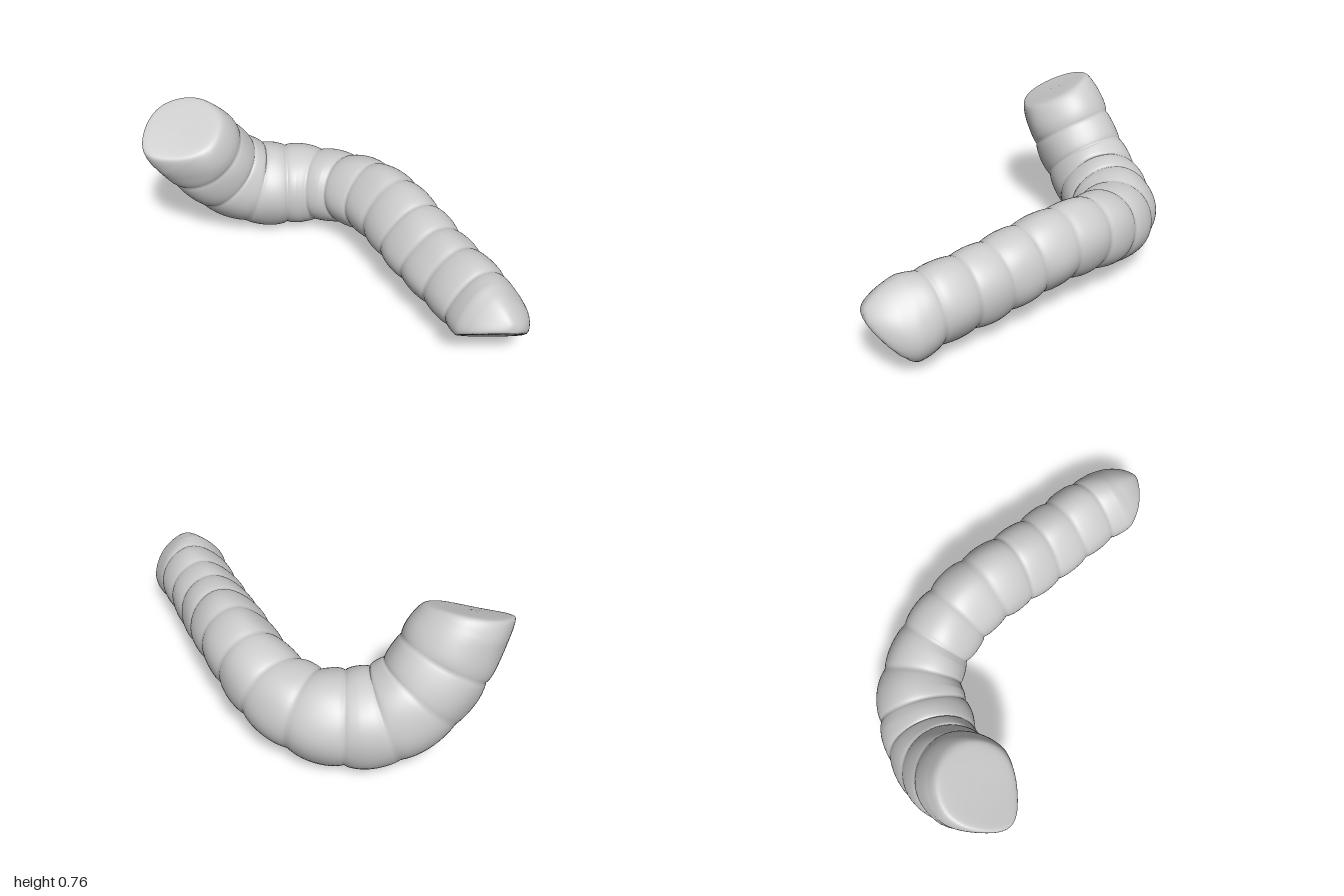
import * as THREE from 'three';

const RINGS = 270, SIDES = 60, RIB = 0.18;

// Centre line: straight ribbed front, sideways bend, then rising rear end
const spine = new THREE.CatmullRomCurve3([
  [0.225, 0.28, 1.0], [0.264, 0.242, 0.8], [0.29, 0.25, 0.6], [0.313, 0.262, 0.4],
  [0.34, 0.292, 0.2], [0.367, 0.321, 0], [0.376, 0.309, -0.2], [0.347, 0.258, -0.42],
  [0.25, 0.235, -0.585], [0.1, 0.238, -0.69], [-0.005, 0.268, -0.745], [-0.105, 0.341, -0.78],
  [-0.183, 0.427, -0.788], [-0.266, 0.545, -0.785], [-0.343, 0.655, -0.778], [-0.518, 0.925, -0.775],
].map((p) => new THREE.Vector3(...p)));
spine.arcLengthDivisions = 800;

// Slanted flat faces at the two ends: plane point, normal, sliding direction, edge softness
const cut = (point, normal, dir, soft) => ({
  point: new THREE.Vector3(...point),
  normal: new THREE.Vector3(...normal).normalize(),
  dir: new THREE.Vector3(...dir).normalize(),
  soft,
});
const tipCut = cut([0.25, 0.27, 0.99], [-0.42, -0.72, 0.55], [0, 0, 1], 0.015);
const rearCut = cut([-0.56, 0.615, -0.75], [-0.35, 0.89, 0.26], [-0.55, 0.83, 0], 0.03);

const height = (p, { point, normal }) => p.clone().sub(point).dot(normal);

// Slides a point back along the body until it lies under the plane
function trim(p, plane) {
  const d = height(p, plane);
  const over = 0.5 * (d + Math.sqrt(d * d + plane.soft * plane.soft));
  p.addScaledVector(plane.dir, -over / plane.dir.dot(plane.normal));
}

// Quarter-ellipse rise from 0 to 1
const dome = (t, e) => (t >= 1 ? 1 : Math.pow(Math.max(0, 1 - Math.pow(1 - Math.max(t, 0), e)), 1 / e));

// Flattens a cross-section on one side, or draws it out with a negative amount
function press(offset, r, degrees, amount) {
  const a = THREE.MathUtils.degToRad(degrees);
  const dir = new THREE.Vector3(Math.cos(a), Math.sin(a), 0);
  const e = Math.max(0, offset.dot(dir));
  if (r > 0) offset.addScaledVector(dir, (-amount * e ** 3) / (r * r));
}

function bodyGeometry() {
  const length = spine.getLength();
  const { smoothstep } = THREE.MathUtils;
  const { normals, binormals } = spine.computeFrenetFrames(RINGS, false);
  const positions = [], index = [];
  for (let i = 0; i <= RINGS; i++) {
    const s = (i / RINGS) * length;
    const centre = spine.getPointAt(i / RINGS);
    // Puffed ribs with tight creases, fading out at both ends
    const rib = (s - 0.13) / RIB;
    const k = Math.floor(rib);
    const puff = Math.sqrt(Math.abs(Math.sin(Math.PI * rib)));
    const depth = 0.095 * smoothstep(s, 0.08, 0.3)
      * (1 - smoothstep(s, length - 0.52, length - 0.38))
      * (1 - 0.35 * smoothstep(s, 1.5, 2.0));
    const base = 0.19 + 0.035 * smoothstep(s, 1.4, 1.85);
    const r = base * (1 - depth * (1 - puff)) * dome(s / 0.2, 1.6);
    const tip = 1 - smoothstep(s, 0.15, 0.36);
    const front = 1 - smoothstep(s, 0.4, 0.9);
    const straight = 1 - smoothstep(s, 1.1, 1.5);
    const rear = smoothstep(s, 1.75, 2.1);
    for (let j = 0; j < SIDES; j++) {
      const a = (j / SIDES) * Math.PI * 2;
      const lobe = r * (1 + 0.012 * puff * Math.cos(5 * a + k * 1.9));
      const offset = normals[i].clone().multiplyScalar(lobe * Math.cos(a))
        .addScaledVector(binormals[i], lobe * Math.sin(a));
      press(offset, r, 138, 0.17 * straight);
      press(offset, r, 230, 0.12 * front + 0.1 * tip);
      press(offset, r, 45, 0.18 * tip);
      press(offset, r, 304, -0.17 * tip);
      press(offset, r, 186, -0.08 * tip);
      const p = centre.clone().add(offset);
      if (s < 0.5) trim(p, tipCut);
      if (s > length - 0.7) {
        // Rounded rim, then the flat rear face
        p.lerpVectors(centre, p, dome((0.16 - height(p, rearCut)) / 0.28, 2));
        trim(p, rearCut);
      }
      // Rear end narrows front to back towards its outer edge
      p.z += (-0.78 - p.z) * (0.05 * rear + 0.24 * smoothstep(-p.x, 0.3, 0.56));
      positions.push(p.x, p.y, p.z);
      if (i < RINGS) {
        const n = (j + 1) % SIDES, row = i * SIDES, next = row + SIDES;
        index.push(row + j, row + n, next + j, row + n, next + n, next + j);
      }
    }
  }
  const g = new THREE.BufferGeometry();
  g.setAttribute('position', new THREE.Float32BufferAttribute(positions, 3));
  g.setIndex(index);
  // Stand on the ground, centred
  g.computeBoundingBox();
  const c = g.boundingBox.getCenter(new THREE.Vector3());
  g.translate(-c.x, -g.boundingBox.min.y, -c.z);
  g.computeVertexNormals();
  return g;
}

export function createModel() {
  const model = new THREE.Group();
  model.name = 'ribbedGrub';
  const body = new THREE.Mesh(bodyGeometry(), new THREE.MeshStandardMaterial({ color: 0xcccccc }));
  body.name = 'ribbedBody';
  model.add(body);
  return model;
}
